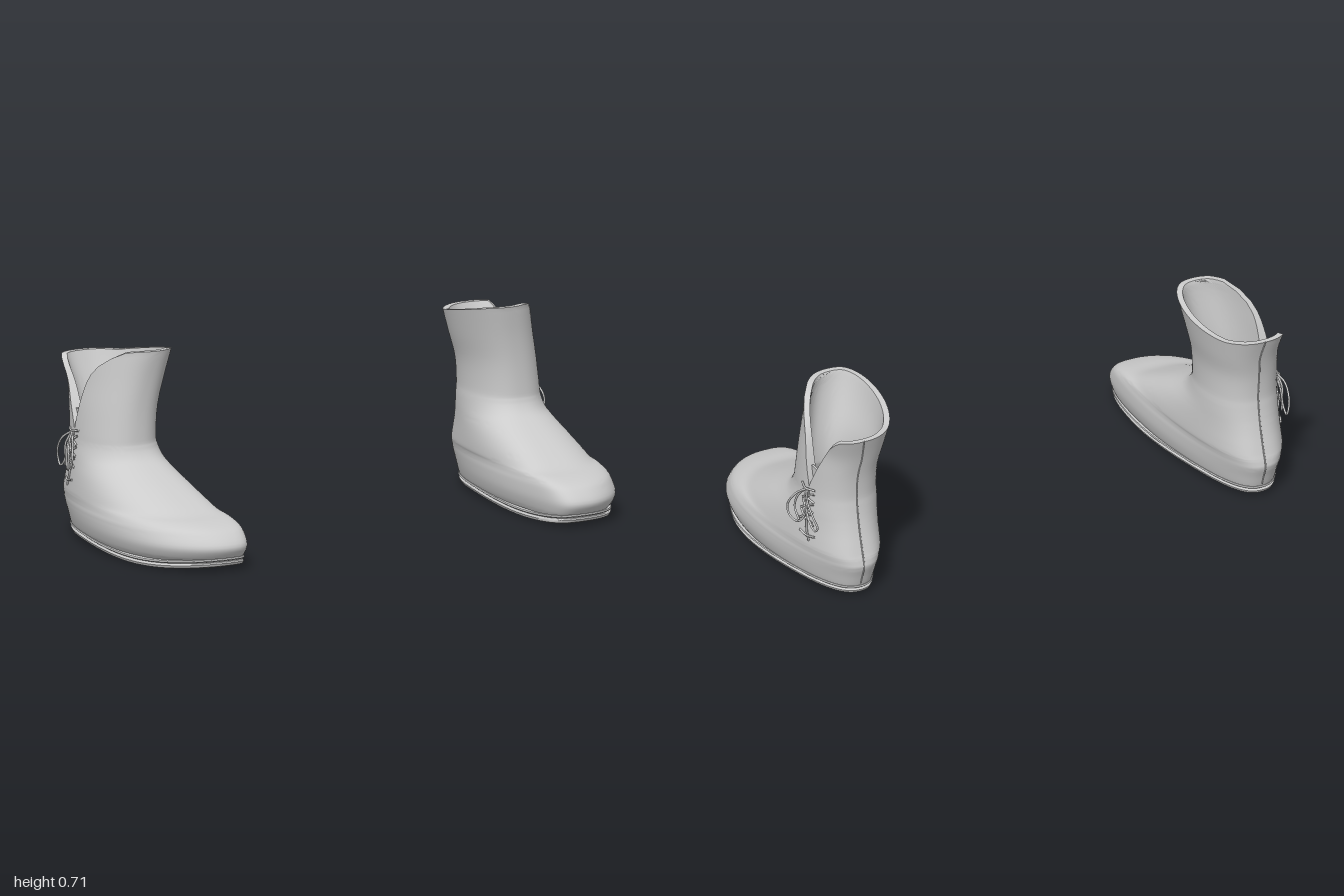
import * as THREE from 'three';
import { toCreasedNormals } from 'three/addons/utils/BufferGeometryUtils.js';

const mat = new THREE.MeshStandardMaterial({ color: 0xcccccc, side: THREE.DoubleSide });

// Boot slices from bottom to top: y, front z, back z, front centre x, front half width,
// back centre x, back half width, toe shift, bluntness (lower is blunter)
const ROWS = [
  [0.035, 0.45, -0.45, 0.798, 0.198, 0.81, 0.135, -0.065, 0.82],
  [0.055, 0.472, -0.458, 0.799, 0.209, 0.81, 0.143, -0.065, 0.82],
  [0.09, 0.487, -0.47, 0.80, 0.218, 0.81, 0.151, -0.065, 0.82],
  [0.13, 0.455, -0.485, 0.80, 0.216, 0.81, 0.152, -0.065, 0.78],
  [0.15, 0.42, -0.483, 0.80, 0.209, 0.81, 0.151, -0.06, 0.72],
  [0.165, 0.36, -0.479, 0.80, 0.204, 0.81, 0.15, -0.055, 0.67],
  [0.178, 0.285, -0.474, 0.80, 0.20, 0.81, 0.149, -0.045, 0.66],
  [0.21, 0.205, -0.464, 0.80, 0.191, 0.81, 0.146, -0.035, 0.68],
  [0.25, 0.115, -0.452, 0.80, 0.176, 0.81, 0.143, -0.025, 0.73],
  [0.29, 0.025, -0.442, 0.80, 0.159, 0.81, 0.14, -0.015, 0.78],
  [0.32, -0.03, -0.436, 0.80, 0.149, 0.81, 0.138, -0.01, 0.81],
  [0.36, -0.06, -0.43, 0.80, 0.139, 0.81, 0.136, 0, 0.82],
  [0.40, -0.066, -0.427, 0.80, 0.134, 0.81, 0.135, 0, 0.82],
  [0.50, -0.067, -0.435, 0.788, 0.131, 0.81, 0.137, 0, 0.82],
  [0.60, -0.06, -0.455, 0.765, 0.134, 0.803, 0.147, 0, 0.82],
  [0.70, -0.045, -0.485, 0.738, 0.137, 0.81, 0.165, 0, 0.82],
];
const SEAM = -0.295, NOTCH = 0.41;

// smooth interpolation between slices
function slice(u) {
  const i = Math.min(Math.floor(u), ROWS.length - 2), f = u - i;
  const at = (k) => ROWS[THREE.MathUtils.clamp(k, 0, ROWS.length - 1)];
  return ROWS[0].map((_, c) => {
    const [a, b, d, e] = [at(i - 1)[c], at(i)[c], at(i + 1)[c], at(i + 2)[c]];
    return b + 0.5 * f * (d - a + f * (2 * a - 5 * b + 4 * d - e + f * (3 * (b - d) + e - a)));
  });
}

// point on a slice at angle t (0 = toe, PI/2 = outer side), moved inwards by inset;
// the toe turns inwards and the waist of the foot bows outwards
function point([, zf, zb, cf, wf, cb, wb, tip, blunt], t, inset = 0) {
  const s = (Math.cos(t) + 1) / 2, sn = Math.sin(t);
  const x = cb + (cf - cb) * s + tip * (s ** 8 - 0.7 * s * (1 - s))
    + (wb + (wf - wb) * s - inset) * Math.sign(sn) * Math.abs(sn) ** blunt;
  return [x, (zf + zb) / 2 + ((zf - zb) / 2 - inset) * Math.cos(t)];
}
const angleAt = ([, zf, zb], z) =>
  Math.acos(THREE.MathUtils.clamp((z - (zf + zb) / 2) / ((zf - zb) / 2), -1, 1));

// outer side of the boot at a given height and depth
function outside(y, z) {
  let i = 0;
  while (i < ROWS.length - 2 && ROWS[i + 1][0] < y) i++;
  const r = slice(i + (y - ROWS[i][0]) / (ROWS[i + 1][0] - ROWS[i][0]));
  return point(r, angleAt(r, z))[0];
}

// upper part of the shaft is lower at the back
function rimHeight(y, z) {
  if (y <= 0.4) return y;
  const rim = 0.715 - 0.065 * THREE.MathUtils.clamp((-0.06 - z) / 0.36, 0, 1);
  return 0.4 + (y - 0.4) * (rim - 0.4) / 0.3;
}

// joins closed loops of points; optionally bridges the two halves of the last loop
function loft(rings, side, bridge) {
  const n = rings[0].length, idx = [], pos = [];
  const tri = (a, b, c) => (side > 0 ? idx.push(a, b, c) : idx.push(a, c, b));
  const quad = (a, b, c, d) => { tri(a, b, c); tri(a, c, d); };
  rings.forEach((r) => r.forEach(([x, y, z]) => pos.push(x * side, y, z)));
  for (let j = 0; j < rings.length - 1; j++)
    for (let i = 0; i < n; i++) {
      const k = (i + 1) % n;
      quad(j * n + i, j * n + k, (j + 1) * n + k, (j + 1) * n + i);
    }
  const o = (rings.length - 1) * n;
  if (bridge)
    for (let i = 0; i < n / 2 - 1; i++) quad(o + i, o + i + 1, o + n - 2 - i, o + n - 1 - i);
  const g = new THREE.BufferGeometry();
  g.setAttribute('position', new THREE.Float32BufferAttribute(pos, 3));
  g.setIndex(idx);
  return toCreasedNormals(g, 0.8);
}

// leather upper: double wall, thicker at the ankle, open along a V notch on the outer side
function upperRings() {
  const rings = [], seg = 72, sub = 4;
  for (let u = 0; u <= (ROWS.length - 1) * sub; u++) {
    const r = slice(u / sub), y = r[0];
    const f = Math.max(0, (y - NOTCH) / (0.7 - NOTCH));
    const wall = 0.042 - 0.02 * THREE.MathUtils.smoothstep(y, 0.4, 0.66);
    const gapFront = 0.085 * f + 0.115 * f ** 7, gapBack = 0.13 * f + 0.035 * f ** 7;
    const t0 = angleAt(r, SEAM - gapBack), t1 = angleAt(r, SEAM + gapFront) + Math.PI * 2;
    const outer = [], inner = [];
    for (let i = 0; i <= seg; i++) {
      const t = t0 + (t1 - t0) * i / seg;
      const [x, z] = point(r, t), [xi, zi] = point(r, t, wall);
      outer.push([x, rimHeight(y, z), z]);
      inner.unshift([xi, rimHeight(y, z), zi]);
    }
    rings.push([...outer, ...inner]);
  }
  return rings;
}

// sole slab with a groove under the welt, and a slight toe spring
function soleRings() {
  const layers = [[0, 0.999], [0, 0.6], [0, 0.2], [0, 0.02], [0.004, 0.004], [0.013, 0], [0.018, 0.003],
    [0.02, 0.01], [0.022, 0.002], [0.026, -0.003], [0.031, -0.001], [0.034, 0.012], [0.034, 0.2], [0.034, 0.999]];
  const foot = [0, 0.468, -0.455, 0.798, 0.204, 0.81, 0.141, -0.065, 0.82];
  return layers.map(([h, inset]) => Array.from({ length: 72 }, (_, i) => {
    const t = i / 72 * Math.PI * 2;
    let [x, z] = point(foot, t, inset < 0.1 ? inset : 0);
    if (inset >= 0.1) { x = 0.8 + (x - 0.8) * (1 - inset); z *= 1 - inset; }
    const lift = z > 0.2 ? 0.018 * ((z - 0.2) / 0.27) ** 2
      : 0.014 * THREE.MathUtils.smoothstep(0.2 - z, 0, 0.45);
    return [x, h + lift, z];
  }));
}

// lace paths as [z, y, distance from the leather]
const LACES = {
  frontBow: [[-0.295, 0.40, 0.008], [-0.265, 0.37, 0.035], [-0.24, 0.32, 0.045], [-0.245, 0.28, 0.035],
    [-0.275, 0.262, 0.022], [-0.305, 0.29, 0.02], [-0.312, 0.34, 0.018], [-0.297, 0.40, 0.008]],
  backBow: [[-0.295, 0.40, 0.008], [-0.335, 0.37, 0.035], [-0.375, 0.32, 0.045], [-0.388, 0.28, 0.038],
    [-0.37, 0.26, 0.028], [-0.338, 0.28, 0.02], [-0.315, 0.33, 0.018], [-0.297, 0.40, 0.008]],
  frontEnd: [[-0.295, 0.40, 0.01], [-0.262, 0.36, 0.022], [-0.25, 0.31, 0.02], [-0.272, 0.265, 0.012]],
  backEnd: [[-0.295, 0.40, 0.01], [-0.318, 0.35, 0.025], [-0.322, 0.30, 0.02], [-0.345, 0.265, 0.012]],
  knotBar: [[-0.255, 0.405, 0.004], [-0.295, 0.402, 0.014], [-0.335, 0.403, 0.004]],
  bottomBar: [[-0.272, 0.224, 0.003], [-0.31, 0.218, 0.007], [-0.347, 0.22, 0.003]],
  seamLace: [[-0.297, 0.40, 0.002], [-0.30, 0.32, 0.003], [-0.303, 0.25, 0.003], [-0.32, 0.197, 0.002]],
};
for (let i = 0; i < 3; i++) {
  const y = 0.27 + i * 0.04;
  LACES['crossA' + i] = [[-0.265, y, 0.002], [-0.297, y + 0.02, 0.008], [-0.33, y + 0.035, 0.002]];
  LACES['crossB' + i] = [[-0.265, y + 0.035, 0.002], [-0.297, y + 0.015, 0.008], [-0.33, y, 0.002]];
}

function tube(points, radius, name) {
  const curve = new THREE.CatmullRomCurve3(points);
  const mesh = new THREE.Mesh(new THREE.TubeGeometry(curve, 32, radius, 6), mat);
  mesh.name = name;
  return mesh;
}

function boot(side) {
  const g = new THREE.Group();
  g.name = side > 0 ? 'leftBoot' : 'rightBoot';
  const upper = new THREE.Mesh(loft(upperRings(), side, true), mat);
  upper.name = 'upper';
  const sole = new THREE.Mesh(loft(soleRings(), side, false), mat);
  sole.name = 'sole';
  // small gusset closing the foot of the notch
  const gusset = new THREE.Mesh(new THREE.BoxGeometry(0.008, 0.09, 0.085), mat);
  gusset.name = 'gusset';
  gusset.position.set(side * (outside(0.43, -0.3) - 0.025), 0.43, -0.3);
  g.add(upper, sole, gusset);

  // stitched seam down the heel
  const heel = ROWS.slice(1).map((r) => {
    const [x, z] = point(r, Math.PI);
    return new THREE.Vector3(x * side, rimHeight(r[0], z), z);
  });
  g.add(tube(heel, 0.003, 'heelSeam'));

  const laces = new THREE.Group();
  laces.name = 'laces';
  for (const [name, path] of Object.entries(LACES))
    laces.add(tube(path.map(([z, y, d]) =>
      new THREE.Vector3(side * (outside(y, z) + d), y, z)), 0.004, name));
  g.add(laces);
  return g;
}

export function createModel() {
  const model = new THREE.Group();
  model.name = 'ankleBoots';
  model.add(boot(1), boot(-1));
  return model;
}
